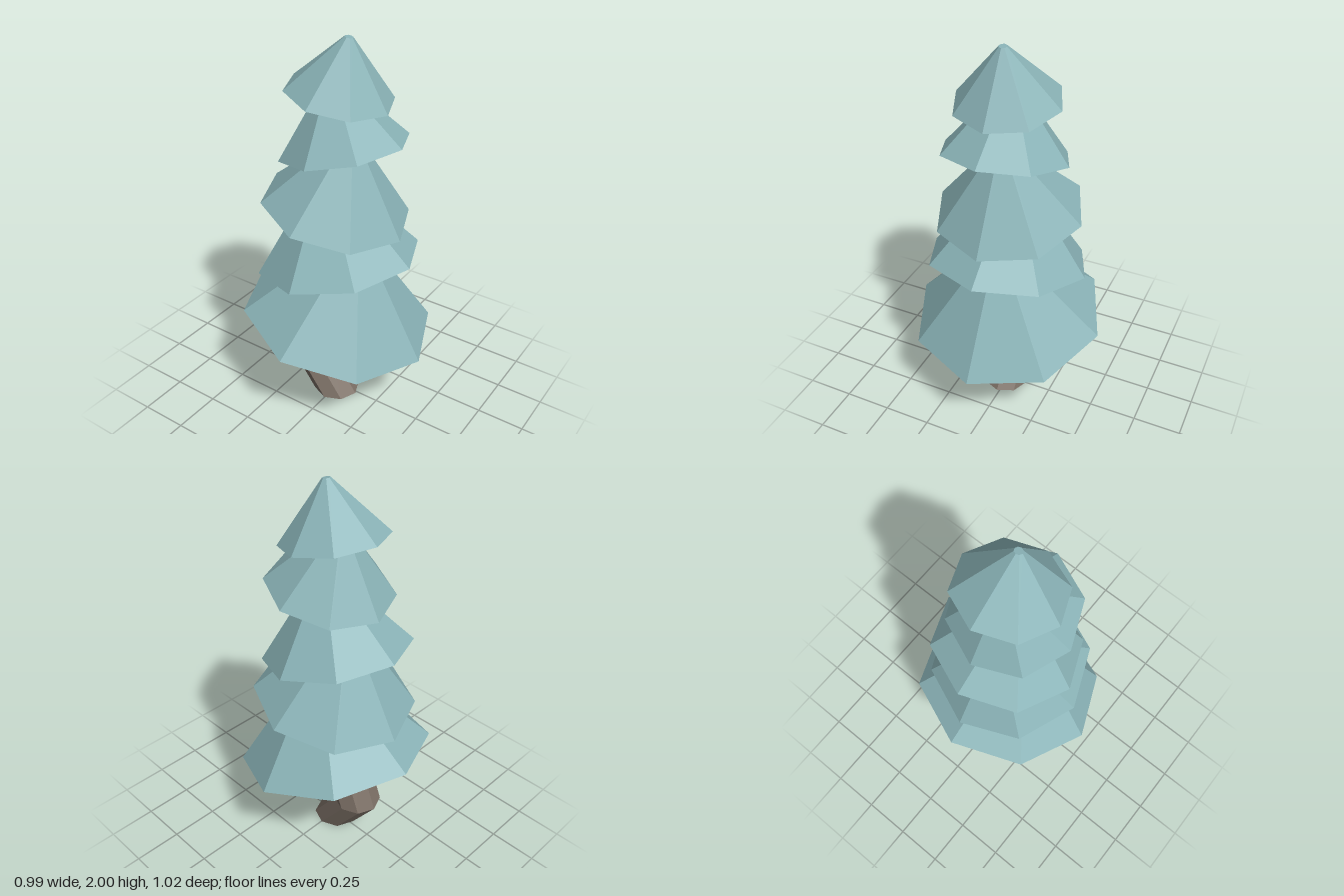
import * as THREE from 'three';

const foliageMaterial = new THREE.MeshStandardMaterial({ color: 0x8ab3b7, flatShading: true });
const trunkMaterial = new THREE.MeshStandardMaterial({ color: 0x7d7167, flatShading: true });

const SIDES = 8;
const TIP_RADIUS = 0.02;

// Foliage tiers, bottom to top: base centre (x, y), base radius, height, tilt about z
const TIERS = [
  { x: 0.0, y: 0.5, radius: 0.508, height: 0.54, tilt: -0.219 },
  { x: 0.002, y: 0.848, radius: 0.419, height: 0.49, tilt: 0.174 },
  { x: -0.015, y: 1.135, radius: 0.379, height: 0.425, tilt: -0.213 },
  { x: 0.032, y: 1.465, radius: 0.32, height: 0.353, tilt: 0.205 },
  { x: 0.005, y: 1.722, radius: 0.265, height: 0.279, tilt: -0.18 },
];

// Leaning truncated octagonal cone, pivoting at the centre of its base
function createTier({ x, y, radius, height, tilt }, index) {
  const geometry = new THREE.CylinderGeometry(TIP_RADIUS, radius, height, SIDES);
  geometry.translate(0, height / 2, 0);
  const tier = new THREE.Mesh(geometry, foliageMaterial);
  tier.name = `foliageTier${index + 1}`;
  tier.position.set(x, y, 0);
  tier.rotation.z = tilt;
  return tier;
}

// Crooked octagonal trunk: level rings shifted sideways at the base, bend and top
function createTrunk() {
  const rings = [
    { x: 0.006, y: 0.62 },
    { x: -0.159, y: 0.21 },
    { x: -0.002, y: 0 },
  ];
  const geometry = new THREE.CylinderGeometry(0.124, 0.124, 2, SIDES, 2);
  const position = geometry.attributes.position;
  for (let i = 0; i < position.count; i++) {
    const ring = rings[Math.round(1 - position.getY(i))];
    position.setXY(i, position.getX(i) + ring.x, ring.y);
  }
  geometry.computeVertexNormals();
  const trunk = new THREE.Mesh(geometry, trunkMaterial);
  trunk.name = 'trunk';
  trunk.position.z = 0.014;
  return trunk;
}

export function createModel() {
  const tree = new THREE.Group();
  tree.name = 'crookedPineTree';
  tree.add(createTrunk(), ...TIERS.map(createTier));
  return tree;
}
